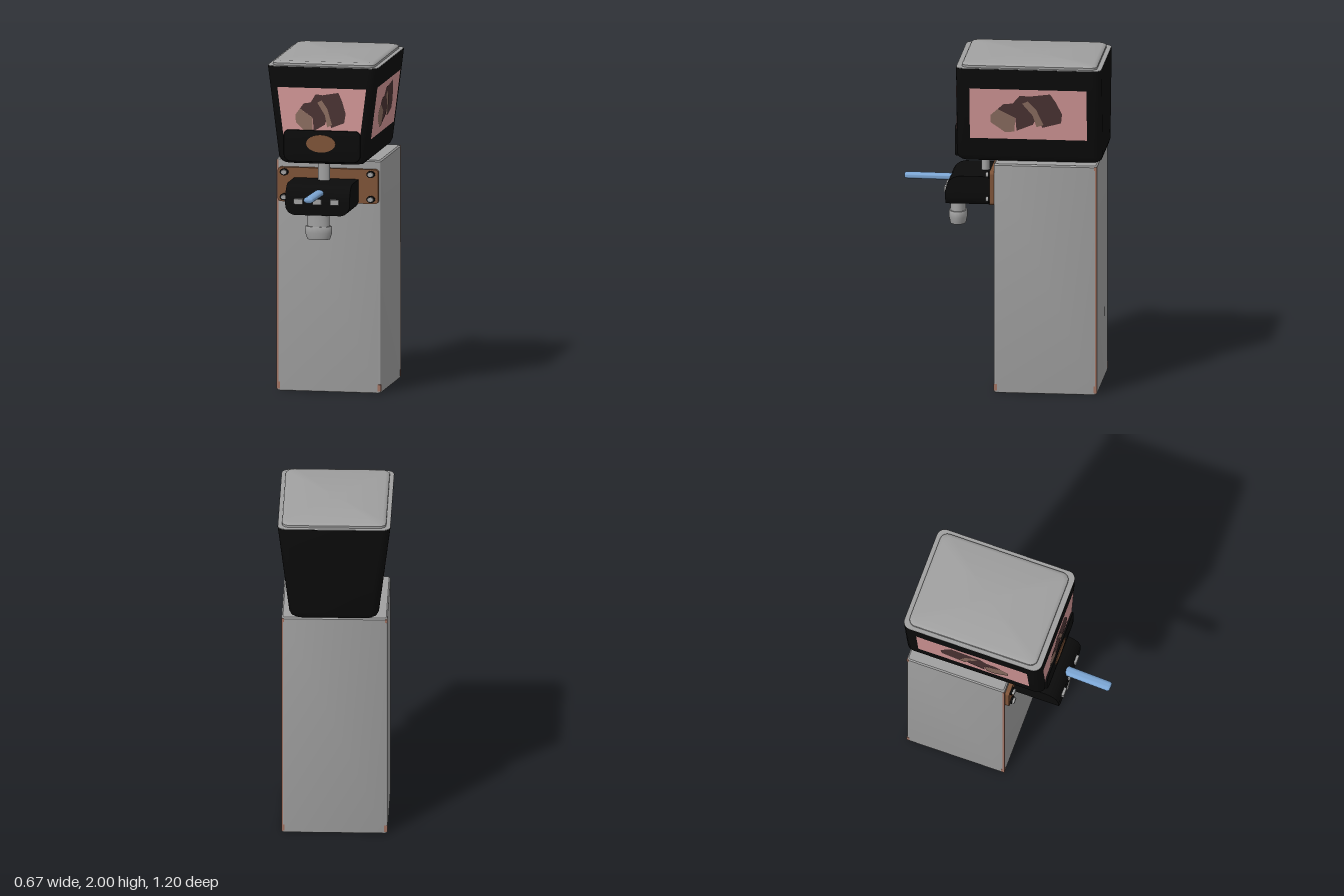
import * as THREE from 'three';
import { toCreasedNormals } from 'three/addons/utils/BufferGeometryUtils.js';

const mat = (name, color, side = THREE.FrontSide) => {
  const m = new THREE.MeshStandardMaterial({ color, side });
  m.name = name;
  return m;
};

// Stack of rounded rectangles, each ring is [y, halfWidth, halfDepth]; closed at both ends
function loft(rings, radius, seg = 5) {
  const pos = [], idx = [], n = 4 * (seg + 1);
  const all = [[rings[0][0], 0, 0], ...rings, [rings[rings.length - 1][0], 0, 0]];
  for (const [y, w, d] of all) {
    const r = Math.min(radius, w, d);
    for (let c = 0; c < 4; c++) {
      const sx = c === 0 || c === 3 ? 1 : -1, sz = c < 2 ? 1 : -1;
      for (let k = 0; k <= seg; k++) {
        const a = (c + k / seg) * Math.PI / 2;
        pos.push(sx * (w - r) + r * Math.cos(a), y, sz * (d - r) + r * Math.sin(a));
      }
    }
  }
  for (let i = 0; i < all.length - 1; i++) {
    for (let j = 0; j < n; j++) {
      const a = i * n + j, b = i * n + (j + 1) % n;
      idx.push(a, a + n, b + n, a, b + n, b);
    }
  }
  const g = new THREE.BufferGeometry();
  g.setAttribute('position', new THREE.Float32BufferAttribute(pos, 3));
  g.setIndex(idx);
  return toCreasedNormals(g, 0.6);
}

// Rectangle with separate top and bottom corner radii
function roundRect(x0, y0, x1, y1, rb, rt) {
  const s = new THREE.Shape();
  s.moveTo(x0 + rb, y0);
  s.lineTo(x1 - rb, y0);
  s.absarc(x1 - rb, y0 + rb, rb, -Math.PI / 2, 0);
  s.lineTo(x1, y1 - rt);
  if (rt) s.absarc(x1 - rt, y1 - rt, rt, 0, Math.PI / 2);
  s.lineTo(x0 + rt, y1);
  if (rt) s.absarc(x0 + rt, y1 - rt, rt, Math.PI / 2, Math.PI);
  s.lineTo(x0, y0 + rb);
  s.absarc(x0 + rb, y0 + rb, rb, Math.PI, Math.PI * 1.5);
  return s;
}

export function createModel() {
  const root = new THREE.Group();
  const grey = mat('metalGrey', 0xa0a0a0);
  const black = mat('blackPlastic', 0x0b0b0b);
  const copper = mat('copperBrown', 0x7d5338);
  const rust = mat('rust', 0xa07262);
  const blue = mat('handleBlue', 0x7ba5d3);
  const pink = mat('labelPink', 0xd09595, THREE.DoubleSide);
  const dark = mat('chunkDark', 0x4a3333, THREE.DoubleSide);
  const light = mat('chunkLight', 0x8a6c5f, THREE.DoubleSide);

  const add = (name, geo, material, x = 0, y = 0, z = 0) => {
    const m = new THREE.Mesh(geo, material);
    m.name = name;
    m.position.set(x, y, z);
    root.add(m);
    return m;
  };
  const box = (name, w, h, d, material, x, y, z) =>
    add(name, new THREE.BoxGeometry(w, h, d), material, x, y, z);

  // Pedestal with worn edges
  const px = -0.003, pz = -0.267, pw = 0.313, pd = 0.306;
  add('pedestal', loft([[0, pw - 0.004, pd - 0.004], [0.006, pw, pd], [1.384, pw, pd],
    [1.392, pw - 0.008, pd - 0.008]], 0.012), grey, px, 0, pz);
  for (const sx of [-1, 1]) for (const sz of [-1, 1]) {
    const wear = (name, s, h, y) =>
      box(name, s, h, s, rust, px + sx * (pw + 0.001 - s / 2), y, pz + sz * (pd + 0.001 - s / 2));
    if (sx !== sz) wear('wornEdge', 0.011, 1.37, 0.695);
    wear('wornFoot', 0.02, 0.04, 0.032);
    if (sz < 0) wear('wornTop', 0.016, 0.022, 1.375);
  }

  // Hopper, flared in width only
  const hz = -0.1675, hd = 0.432;
  const halfW = y => 0.262 + 0.071 * (y - 1.41) / 0.565;
  add('hopper', loft([[1.392, 0.215, hd - 0.045], [1.397, 0.238, hd - 0.022], [1.41, 0.254, hd - 0.008],
    [1.435, halfW(1.435), hd], [1.972, 0.333, hd]], 0.05), black, 0, 0, hz);
  add('hopperRim', loft([[1.97, 0.332, hd - 0.001], [1.975, 0.332, hd - 0.001]], 0.05), grey, 0, 0, hz);
  add('lid', loft([[1.974, 0.307, 0.401], [1.988, 0.307, 0.401], [1.996, 0.3, 0.394],
    [2, 0.285, 0.379]], 0.045), grey, 0, 0, -0.17);

  // Front boss with an oval badge
  const boss = new THREE.ExtrudeGeometry(roundRect(-0.222, 1.415, 0.228, 1.592, 0.04, 0.025),
    { depth: 0.02, bevelThickness: 0.006, bevelSize: 0.006, bevelSegments: 2, curveSegments: 6 });
  add('hopperBoss', toCreasedNormals(boss, 0.5), black, 0, 0, 0.252);
  const badge = add('ovalBadge', new THREE.CylinderGeometry(1, 1, 0.006, 32), copper, -0.003, 1.52, 0.279);
  badge.rotation.x = Math.PI / 2;
  badge.scale.set(0.088, 1, 0.052);

  // Picture labels: u spans -0.5..0.5 across, v spans 0..1 upward
  const picture = [
    ['labelPanel', pink, [[-0.5, 0], [0.5, 0], [0.5, 1], [-0.5, 1]]],
    ['chunkRight', dark, [[-0.01, 0.86], [0.19, 0.92], [0.24, 0.75], [0.29, 0.52], [0.28, 0.34], [0.12, 0.24], [0.05, 0.6]]],
    ['chunkLeft', dark, [[-0.26, 0.6], [-0.21, 0.7], [-0.13, 0.72], [-0.07, 0.88], [0, 0.87], [0.05, 0.76],
      [0.08, 0.5], [0.04, 0.3], [-0.1, 0.17], [-0.11, 0.43]]],
    ['chunkLeftFace', light, [[-0.32, 0.48], [-0.26, 0.6], [-0.11, 0.43], [-0.12, 0.15], [-0.2, 0.14], [-0.32, 0.33]]],
    ['chunkRightFace', light, [[-0.05, 0.72], [0, 0.77], [0.07, 0.6], [0.13, 0.3], [0.07, 0.25], [0.04, 0.48]]],
  ];
  const label = (side, place) => picture.forEach(([name, material, pts], i) => {
    const g = new THREE.ShapeGeometry(new THREE.Shape(pts.map(p => new THREE.Vector2(...p))));
    const p = g.attributes.position;
    const lift = 0.0015 + 0.0012 * Math.min(i, 3);
    for (let k = 0; k < p.count; k++) p.setXYZ(k, ...place(p.getX(k), 1.54 + 0.31 * p.getY(k), lift));
    g.computeVertexNormals();
    add(side + name, g, material);
  });
  label('front_', (u, y, lift) => [u * 2 * (halfW(y) - 0.05), y, hz + hd + lift]);
  for (const s of [1, -1]) {
    label(s > 0 ? 'left_' : 'right_', (u, y, lift) => [s * (halfW(y) + lift), y, -0.165 - u * 0.695]);
  }

  // Mounting plate and bolts
  add('mountingPlate', new THREE.ExtrudeGeometry(roundRect(-0.305, 1.135, 0.3, 1.34, 0.02, 0.02),
    { depth: 0.028, bevelEnabled: false }), copper, 0, 0, 0.037);
  for (const x of [-0.265, 0.256]) for (const y of [1.163, 1.312]) {
    const washer = add('boltWasher', new THREE.CylinderGeometry(0.026, 0.026, 0.012, 16), black, x, y, 0.07);
    const head = add('boltHead', new THREE.CylinderGeometry(0.019, 0.019, 0.02, 8), grey, x, y, 0.08);
    for (const m of [washer, head]) {
      m.rotation.x = Math.PI / 2;
      m.scale.z = 0.8;
    }
  }

  // Feed pipe from the hopper to the valve
  add('feedPipe', new THREE.CylinderGeometry(0.037, 0.037, 0.16, 24), grey, -0.015, 1.34, 0.12).scale.z = 0.7;

  // Valve body: rounded below, top curving down toward the front
  const z0 = 0.062, z1 = 0.34, r = 0.09;
  const body = new THREE.ExtrudeGeometry(roundRect(-0.205, 1.1, 0.182, 1.28, 0.06, 0),
    { depth: z1 - z0, steps: 20, bevelEnabled: false, curveSegments: 8 });
  const bp = body.attributes.position;
  for (let k = 0; k < bp.count; k++) {
    const z = bp.getZ(k) + z0, t = Math.min(r, Math.max(0, z - (z1 - r)));
    const top = 1.28 - r + Math.sqrt(r * r - t * t);
    bp.setXYZ(k, bp.getX(k), Math.min(bp.getY(k), top), z);
  }
  add('valveBody', toCreasedNormals(body, 0.6), black);
  for (const x of [-0.125, -0.013, 0.092]) {
    box('valveClip', 0.052, 0.032, 0.025, grey, x, 1.182, 0.341);
  }

  // Handle with softly rounded end
  const V = (x, y) => new THREE.Vector2(x, y);
  const handle = add('handle', new THREE.LatheGeometry([V(0, 0.285), V(0.022, 0.285), V(0.029, 0.278),
    V(0.031, 0.268), V(0.031, 0), V(0, 0)].reverse(), 24), blue, -0.006, 1.23, 0.315);
  handle.geometry = toCreasedNormals(handle.geometry, 0.8);
  handle.rotation.set(Math.PI / 2, 0, 0.035);
  handle.scale.z = 0.64;

  // Spout with flared collar
  const spout = new THREE.LatheGeometry([V(0, 0.975), V(0.05, 0.975), V(0.05, 0.952), V(0.068, 0.952),
    V(0.081, 0.992), V(0.081, 1.022), V(0.077, 1.03), V(0.066, 1.03), V(0.066, 1.12)], 32);
  add('spout', toCreasedNormals(spout, 0.5), grey, -0.015, 0, 0.283).scale.z = 0.68;

  return root;
}
